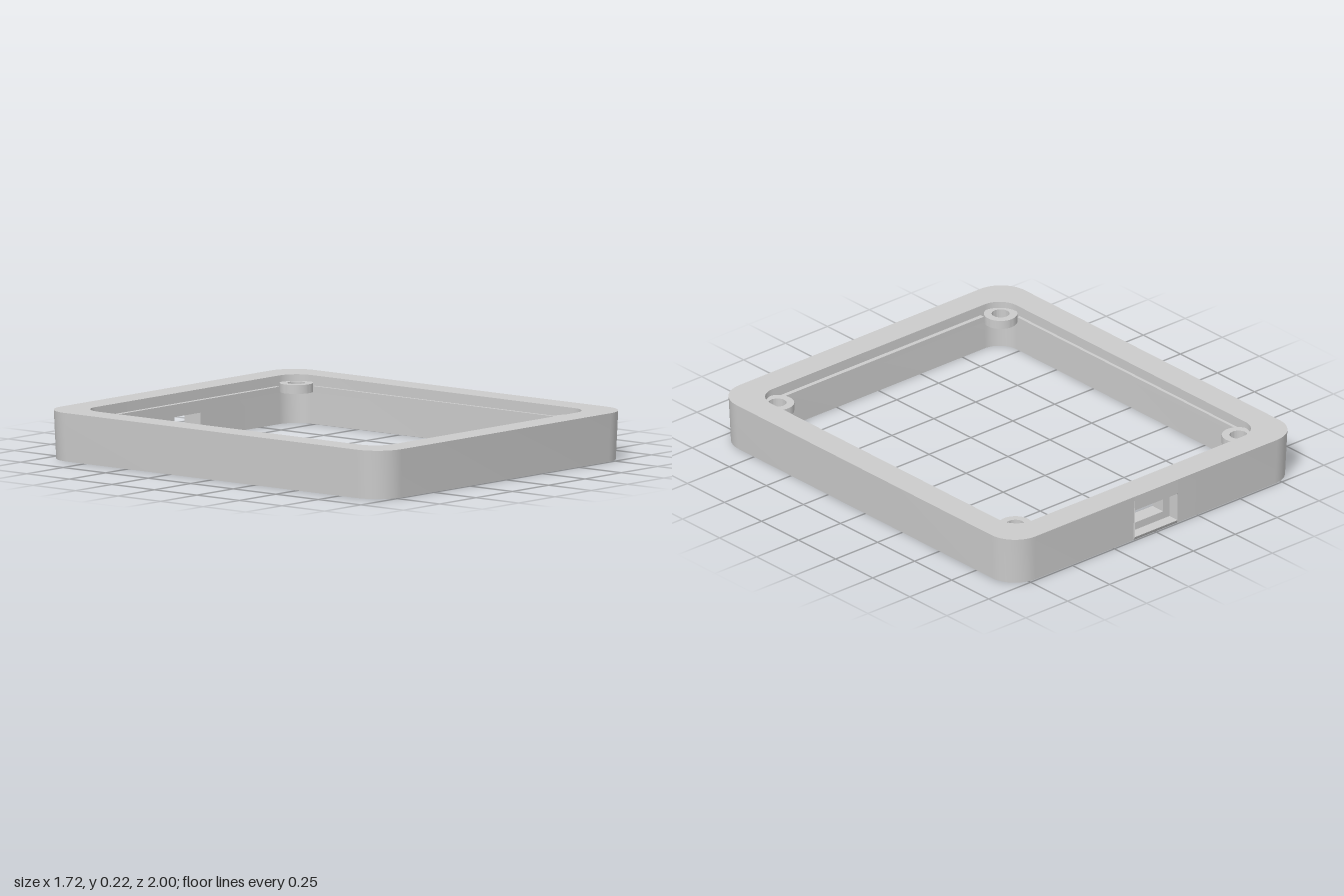
import * as THREE from 'three';
import { toCreasedNormals } from 'three/addons/utils/BufferGeometryUtils.js';

const W = 0.86, D = 1.0, H = 0.22;      // outer half width, half depth, height
const IW = 0.733, ID = 0.872;           // inner half width and half depth
const GAP = 0.13;                       // half width of the port panel in the back wall
const CHAMFER = 0.008;

const material = new THREE.MeshStandardMaterial({ color: 0xcccccc });

function addMesh(parent, name, geometry) {
  const mesh = new THREE.Mesh(toCreasedNormals(geometry, 0.5), material);
  mesh.name = name;
  parent.add(mesh);
  return mesh;
}

// Rounded rectangle outline, open between -GAP and +GAP at the back (+y of the shape)
function openOutline(w, d, r) {
  const points = [new THREE.Vector2(GAP, d)];
  const corners = [[1, 1, 90], [1, -1, 0], [-1, -1, -90], [-1, 1, -180]];
  for (const [sx, sy, start] of corners) {
    for (let i = 0; i <= 14; i++) {
      const a = THREE.MathUtils.degToRad(start - (90 * i) / 14);
      points.push(new THREE.Vector2(sx * (w - r) + r * Math.cos(a), sy * (d - r) + r * Math.sin(a)));
    }
  }
  points.push(new THREE.Vector2(-GAP, d));
  return points;
}

// Pull the outer bottom edge in for a fine chamfer
function chamferBottom(geometry) {
  const p = geometry.attributes.position;
  for (let i = 0; i < p.count; i++) {
    const x = p.getX(i), z = p.getZ(i);
    const outer = Math.abs(x) > 0.75 || Math.abs(z) > 0.99 || Math.hypot(x, z) > 1.15;
    if (p.getY(i) < 0.001 && outer) {
      p.setX(i, x * (1 - CHAMFER / W));
      p.setZ(i, z * (1 - CHAMFER / D));
    }
  }
  return geometry;
}

function rectPath(Type, x, y0, y1) {
  return new Type([[-x, y0], [x, y0], [x, y1], [-x, y1]].map(([a, b]) => new THREE.Vector2(a, b)));
}

// Panel in the back wall with a rectangular opening
function portPanel(holeX, y0, y1, zBack, zFront) {
  const shape = rectPath(THREE.Shape, GAP + 0.001, 0, H);
  shape.holes.push(rectPath(THREE.Path, holeX, y0, y1));
  const geometry = new THREE.ExtrudeGeometry(shape, { depth: zFront - zBack, bevelEnabled: false });
  return chamferBottom(geometry.translate(0, 0, zBack));
}

export function createModel() {
  const group = new THREE.Group();
  group.name = 'enclosureFrame';

  // Wall running round from one side of the port to the other
  const wall = new THREE.Shape([...openOutline(W, D, 0.14), ...openOutline(IW, ID, 0.1).reverse()]);
  const wallGeometry = new THREE.ExtrudeGeometry(wall, { depth: H, bevelEnabled: false });
  wallGeometry.rotateX(-Math.PI / 2);
  addMesh(group, 'frameWall', chamferBottom(wallGeometry));

  // Port: wide pocket outside, narrow slot inside
  addMesh(group, 'portPocket', portPanel(0.128, 0.017, 0.15, -D, -0.945));
  addMesh(group, 'portSlot', portPanel(0.09, 0.053, 0.113, -0.945, -ID));

  // Snap ribs along the inner faces
  for (const s of [-1, 1]) {
    const cross = new THREE.BoxGeometry(1.22, 0.028, 0.03);
    addMesh(group, s > 0 ? 'frontRib' : 'backRib', cross).position.set(0, 0.16, s * 0.866);
    const side = new THREE.BoxGeometry(0.03, 0.028, 1.5);
    addMesh(group, s > 0 ? 'leftRib' : 'rightRib', side).position.set(s * 0.733, 0.16, 0);
  }

  // Screw bosses in the corners
  const ring = new THREE.Shape().absarc(0, 0, 0.075, 0, Math.PI * 2);
  ring.holes.push(new THREE.Path().absarc(0, 0, 0.04, 0, Math.PI * 2, true));
  const boss = new THREE.ExtrudeGeometry(ring, { depth: 0.04, bevelEnabled: false, curveSegments: 32 });
  boss.rotateX(-Math.PI / 2);
  for (const x of [-0.666, 0.666]) {
    for (const z of [-0.802, 0.802]) {
      addMesh(group, 'screwBoss', boss).position.set(x, 0.15, z);
    }
  }
  return group;
}
